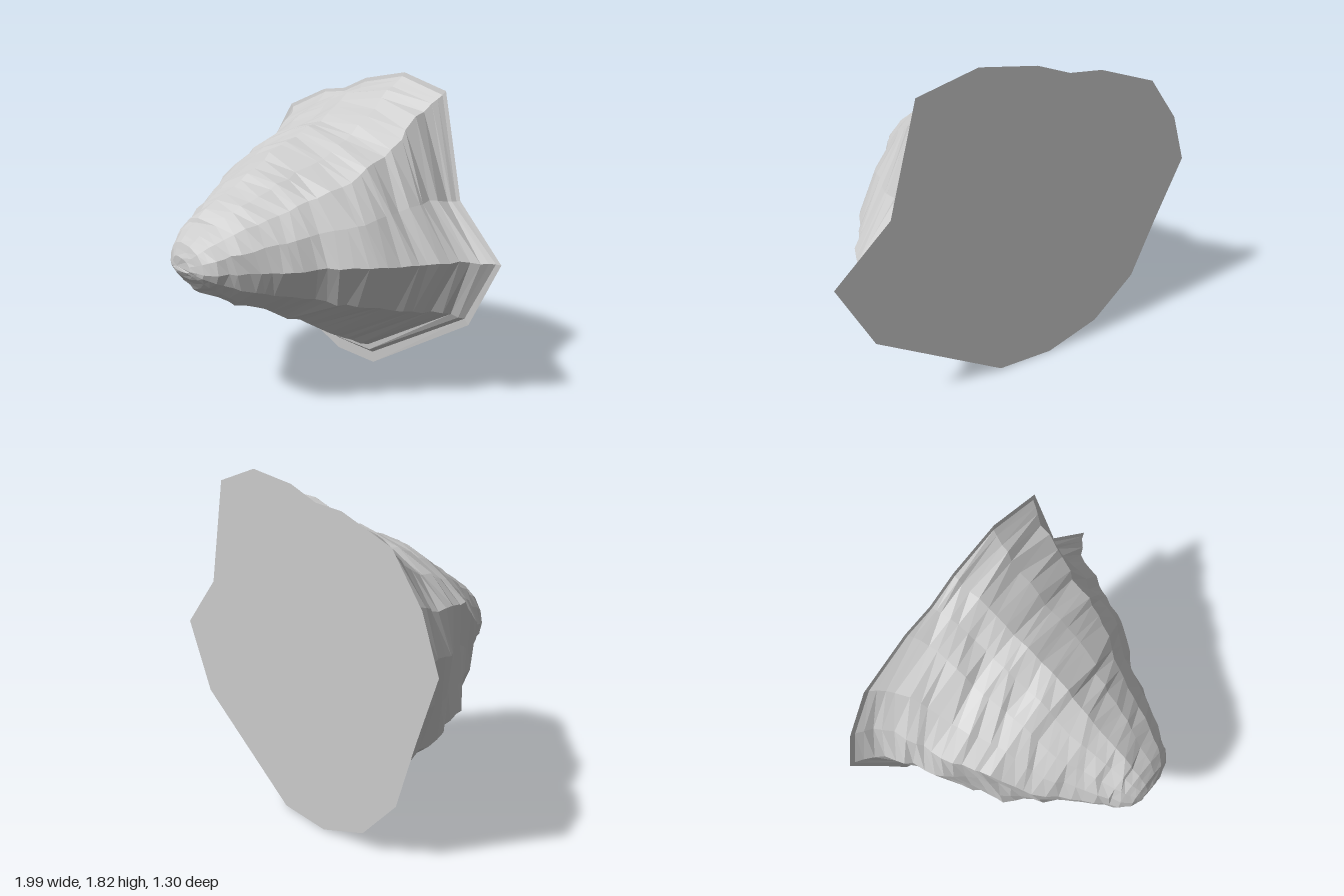
import * as THREE from 'three';

const CX = -0.08, CY = 0.87;

// Key outlines (x, y), counter-clockwise seen from the front
const baseOutline = [
  [0.99, 0.88], [0.70, 1.17], [0.56, 1.74], [0.26, 1.82], [-0.04, 1.77], [-0.22, 1.70],
  [-0.40, 1.68], [-0.72, 1.56], [-0.90, 1.32], [-1.0, 1.05], [-0.87, 0.70], [-0.75, 0.35],
  [-0.52, 0.11], [-0.22, 0], [0.10, 0.01], [0.81, 0.49]];
const backOutline = [
  [0.78, 0.89], [0.62, 1.17], [0.48, 1.46], [0.22, 1.55], [-0.03, 1.60], [-0.18, 1.56],
  [-0.34, 1.51], [-0.55, 1.40], [-0.70, 1.23], [-0.77, 1.02], [-0.71, 0.75], [-0.63, 0.49],
  [-0.43, 0.31], [-0.2, 0.25], [0.06, 0.25], [0.62, 0.58]];
const middleOutline = [
  [0.58, 0.89], [0.50, 1.09], [0.38, 1.26], [0.2, 1.37], [-0.04, 1.46], [-0.18, 1.42],
  [-0.32, 1.37], [-0.46, 1.28], [-0.59, 1.18], [-0.56, 0.95], [-0.57, 0.74], [-0.57, 0.58],
  [-0.38, 0.48], [-0.2, 0.45], [0.04, 0.45], [0.44, 0.65]];
const tipOutline = baseOutline.map((p, j) => {
  const a = (j / 16) * Math.PI * 2;
  return [CX + Math.cos(a), CY + Math.sin(a)];
});

// Reach of the rock at each depth: z, left edge, right edge, bottom, top
const reach = [
  [-0.645, -0.97, 0.96, 0.07, 1.80], [-0.60, -0.89, 0.91, 0.11, 1.77],
  [-0.50, -0.83, 0.84, 0.18, 1.73], [-0.40, -0.79, 0.81, 0.23, 1.64],
  [-0.30, -0.76, 0.74, 0.28, 1.56], [-0.20, -0.71, 0.71, 0.36, 1.54],
  [-0.10, -0.64, 0.66, 0.41, 1.48], [0, -0.60, 0.59, 0.45, 1.46],
  [0.10, -0.55, 0.48, 0.50, 1.38], [0.20, -0.51, 0.43, 0.54, 1.31],
  [0.30, -0.42, 0.37, 0.57, 1.25], [0.40, -0.35, 0.31, 0.63, 1.19],
  [0.50, -0.28, 0.24, 0.69, 1.12], [0.57, -0.24, 0.19, 0.75, 1.06],
  [0.62, -0.19, 0.13, 0.81, 1.00], [0.645, -0.13, 0.04, 0.85, 0.93]];

// Scale an outline so it spans -1..1 about the axis in both directions
function normalise(outline) {
  const xs = outline.map(p => p[0] - CX), ys = outline.map(p => p[1] - CY);
  const x0 = -Math.min(...xs), x1 = Math.max(...xs);
  const y0 = -Math.min(...ys), y1 = Math.max(...ys);
  return xs.map((x, j) => [x / (x < 0 ? x0 : x1), ys[j] / (ys[j] < 0 ? y0 : y1)]);
}

function seeded(seed) {
  return () => {
    seed = (seed * 16807) % 2147483647;
    return seed / 2147483647;
  };
}

function rockRings() {
  const random = seeded(71);
  const shapes = [baseOutline, backOutline, middleOutline, tipOutline].map(normalise);
  const depths = [-0.65, -0.35, 0, 0.6];
  const rings = [baseOutline.map(([x, y]) => [x, y, -0.65])];
  const steps = (reach.length - 1) * 2;
  for (let s = 0; s <= steps; s++) {
    const i = Math.min(Math.floor(s / 2), reach.length - 2), f = s / 2 - i;
    const [z, left, right, low, high] = reach[i].map((v, k) => v + (reach[i + 1][k] - v) * f);
    // Blend between the two key outlines on either side of this depth
    const m = z < -0.35 ? 0 : z < 0 ? 1 : 2;
    const k = Math.min((z - depths[m]) / (depths[m + 1] - depths[m]), 1);
    const to = shapes[m + 1];
    const rough = s > 1 && z < 0.55 ? 1 : 0.15;
    rings.push(shapes[m].map((p, j) => {
      const u = p[0] + (to[j][0] - p[0]) * k, v = p[1] + (to[j][1] - p[1]) * k;
      const shrink = 1 - random() * 0.025 * rough;
      // Uneven depth and height make the rings read as broken strata
      const dz = (random() - 0.5) * 0.035 * rough;
      const dy = (random() - 0.5) * 0.012 * rough;
      return [
        CX + u * shrink * (u < 0 ? CX - left : right - CX),
        CY + v * shrink * (v < 0 ? CY - low : high - CY) + dy,
        s === 0 ? z : z + dz];
    }));
  }
  return rings;
}

function rockGeometry() {
  const rings = rockRings(), n = baseOutline.length;
  // Close the flat back and the slightly dished tip with single-point rings
  rings.unshift(baseOutline.map(() => [CX, CY, -0.65]));
  rings.push(baseOutline.map(() => [-0.1, 0.87, 0.64]));
  const index = [];
  for (let i = 0; i < rings.length - 1; i++) {
    for (let j = 0; j < n; j++) {
      const a = i * n + j, b = i * n + (j + 1) % n, c = b + n, d = a + n;
      if (i < rings.length - 2) index.push(a, c, d);
      if (i > 0) index.push(a, b, c);
    }
  }
  const geometry = new THREE.BufferGeometry();
  geometry.setAttribute('position', new THREE.Float32BufferAttribute(rings.flat(2), 3));
  geometry.setIndex(index);
  const flat = geometry.toNonIndexed();
  flat.computeVertexNormals();
  return flat;
}

export function createModel() {
  const group = new THREE.Group();
  group.name = 'rockSpur';
  const material = new THREE.MeshStandardMaterial({ color: 0xcccccc, flatShading: true });
  const rock = new THREE.Mesh(rockGeometry(), material);
  rock.name = 'rock';
  group.add(rock);
  return group;
}
